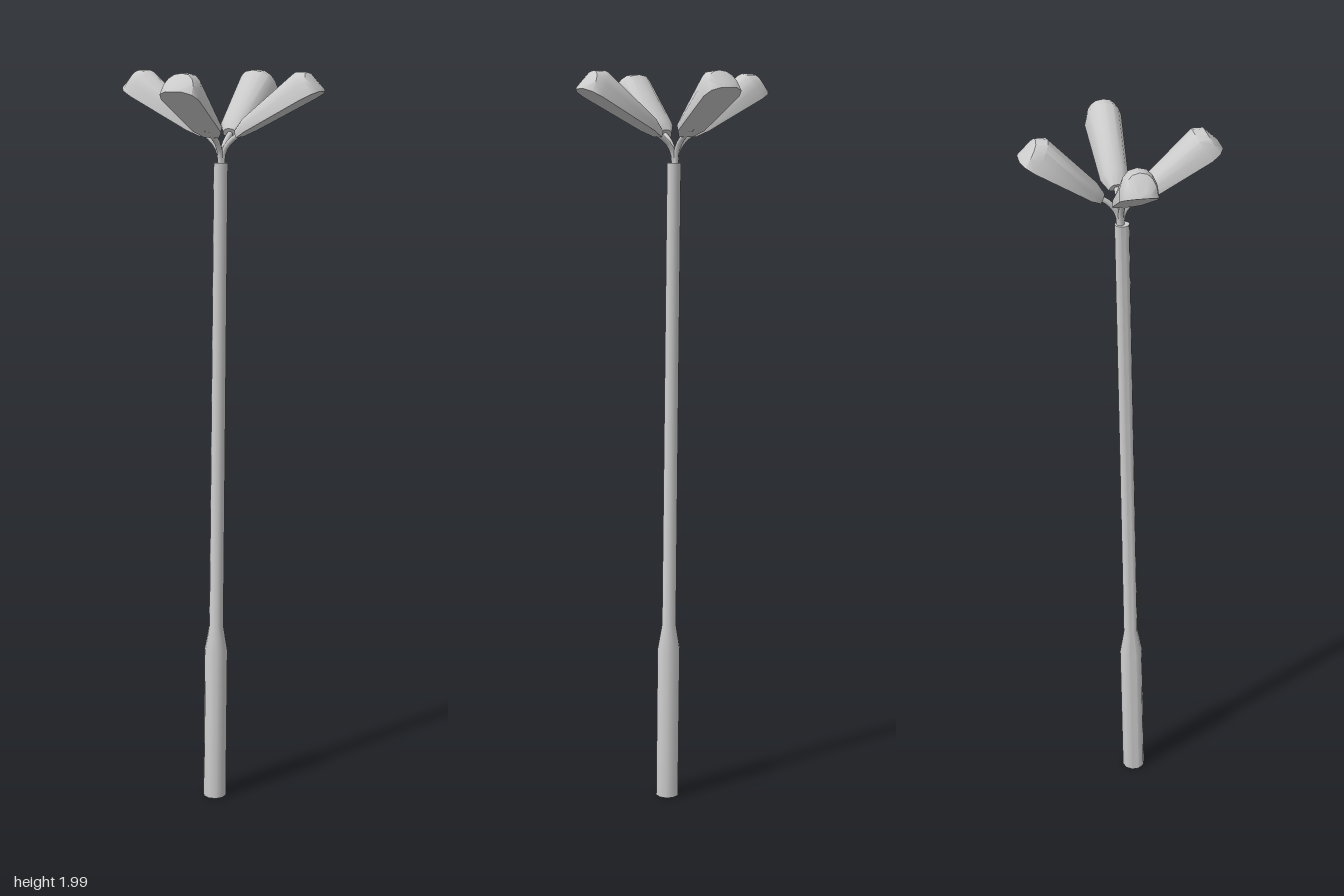
import * as THREE from 'three';
import { toCreasedNormals } from 'three/addons/utils/BufferGeometryUtils.js';

const grey = new THREE.MeshStandardMaterial({ color: 0xcccccc });

function add(parent, name, geometry) {
  const mesh = new THREE.Mesh(geometry, grey);
  mesh.name = name;
  parent.add(mesh);
  return mesh;
}

// Lamp head along +x: flat underside at y = 0, domed top, rounded ends
function headGeometry(length, width) {
  // [fraction of length, half width, height]
  const sections = [
    [0, 0.4, 0.022], [0.13, 0.76, 0.037], [0.83, 1, 0.075],
    [0.94, 0.84, 0.06], [1, 0.42, 0.014],
  ];
  const n = 8;
  const pos = [];
  const index = [];
  for (const [t, w, h] of sections) {
    for (let j = 0; j <= n; j++) {
      const a = (j / n) * Math.PI;
      const c = Math.cos(a);
      pos.push(t * length, h * Math.pow(Math.max(0, Math.sin(a)), 0.85),
        w * width * Math.sign(c) * Math.pow(Math.abs(c), 0.85));
    }
  }
  const ring = n + 1;
  for (let i = 0; i < sections.length - 1; i++) {
    for (let j = 0; j < ring; j++) {
      // the last strip of each section closes the underside
      const a = i * ring + j, b = i * ring + (j + 1) % ring;
      index.push(a, a + ring, b, b, a + ring, b + ring);
    }
  }
  // End caps
  const last = (sections.length - 1) * ring;
  for (let j = 1; j < n; j++) {
    index.push(0, j, j + 1);
    index.push(last, last + j + 1, last + j);
  }
  const g = new THREE.BufferGeometry();
  g.setAttribute('position', new THREE.Float32BufferAttribute(pos, 3));
  g.setIndex(index);
  return toCreasedNormals(g, 0.7);
}

export function createModel() {
  const model = new THREE.Group();
  model.name = 'streetLamp';

  // Slightly leaning pole with a thicker base sleeve
  const profile = [
    [0, 0], [0.032, 0], [0.032, 0.43], [0.02, 0.5], [0.019, 1.76], [0, 1.76],
  ].map(([r, y]) => new THREE.Vector2(r, y));
  const pole = add(model, 'pole', toCreasedNormals(new THREE.LatheGeometry(profile, 10), 0.8));
  pole.position.z = 0.042;
  pole.rotation.x = -0.0205;

  // Four curved arms, each with a lamp head; the side pair is longer and narrower
  for (let i = 0; i < 4; i++) {
    const side = i % 2 === 0;
    const lamp = new THREE.Group();
    lamp.name = ['leftLamp', 'backLamp', 'rightLamp', 'frontLamp'][i];
    lamp.rotation.y = i * Math.PI / 2;
    lamp.position.z = 0.002;
    model.add(lamp);

    const path = new THREE.CatmullRomCurve3([
      [0.002, 1.745], [0.006, 1.785], [0.026, 1.815], [0.08, 1.85],
    ].map(([x, y]) => new THREE.Vector3(x, y, 0)));
    add(lamp, 'arm', new THREE.TubeGeometry(path, 8, 0.0075, 8));

    const head = add(lamp, 'lampHead',
      side ? headGeometry(0.262, 0.047) : headGeometry(0.231, 0.054));
    head.position.set(side ? 0.053 : 0.052, 1.826, 0);
    head.rotation.z = side ? 0.475 : 0.555;
  }
  return model;
}
